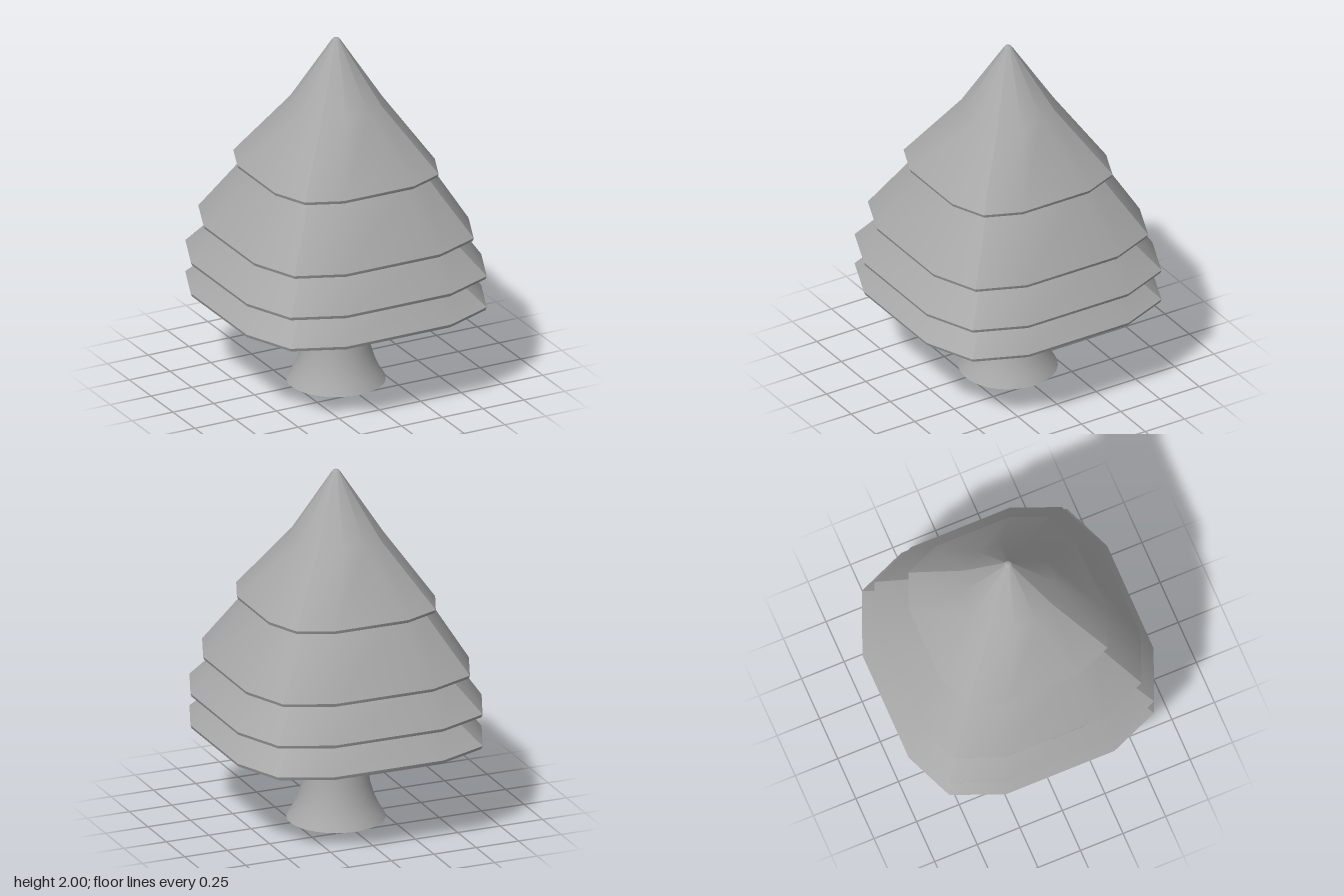
import * as THREE from 'three';
import { mergeGeometries } from 'three/addons/utils/BufferGeometryUtils.js';

// A ring is [side, corner, t, y]: a twelve-sided outline with corners at
// (±corner, ±corner) and side points at (±t, side).
function sidePatch(rings) {
  const pos = [], index = [];
  rings.forEach(([side, corner, t, y]) => {
    pos.push(-corner, y, corner, -t, y, side, t, y, side, corner, y, corner);
  });
  for (let r = 0; r < rings.length - 1; r++) {
    for (let i = 0; i < 3; i++) {
      const a = r * 4 + i, d = a + 4;
      index.push(a, a + 1, d + 1, a, d + 1, d);
    }
  }
  const g = new THREE.BufferGeometry();
  g.setAttribute('position', new THREE.Float32BufferAttribute(pos, 3));
  g.setIndex(index);
  g.computeVertexNormals();
  return g;
}

// Four smooth sides with creases along the corners
function fourSides(rings) {
  return [0, 1, 2, 3].map((k) => sidePatch(rings).rotateY(k * Math.PI / 2));
}

// Round ring expressed in the same form
const roundRing = (r, y) => [r * 0.966, r * 0.707, r * 0.259, y];

function tierGeometry(rim, under, upper) {
  const [side, corner, t, y] = rim;
  const lip = [side - 0.006, corner - 0.005, t - 0.003, y - 0.018];
  return mergeGeometries([
    ...fourSides([...under, lip]),     // hollow underside
    ...fourSides([lip, rim]),          // thin rim
    ...fourSides([rim, ...upper]),     // sloping top
  ]);
}

export function createModel() {
  const model = new THREE.Group();
  const grey = new THREE.MeshStandardMaterial({ color: 0xa8a8a8, side: THREE.DoubleSide });
  grey.name = 'grey';

  const add = (name, geometry) => {
    const mesh = new THREE.Mesh(geometry, grey);
    mesh.name = name;
    model.add(mesh);
  };

  // Flared trunk
  const profile = [[0.27, 0], [0.237, 0.055], [0.21, 0.115], [0.185, 0.2], [0.172, 0.29], [0.167, 0.34], [0.167, 0.77]]
    .map(([r, y]) => new THREE.Vector2(r, y));
  add('trunk', new THREE.LatheGeometry(profile, 32));
  const base = new THREE.CircleGeometry(0.27, 32);
  base.rotateX(Math.PI / 2);
  add('trunkBase', base);

  // Foliage tiers, bottom to top
  add('bottomTier', tierGeometry([0.719, 0.602, 0.32, 0.52],
    [roundRing(0.15, 0.75), [0.45, 0.37, 0.18, 0.67]],
    [[0.6, 0.46, 0.24, 0.69], [0.5, 0.37, 0.18, 0.84]]));
  add('lowerTier', tierGeometry([0.719, 0.602, 0.32, 0.703],
    [[0.45, 0.37, 0.18, 0.82]],
    [[0.59, 0.46, 0.24, 0.9], [0.51, 0.385, 0.19, 1.03]]));
  add('upperTier', tierGeometry([0.657, 0.55, 0.29, 0.917],
    [[0.41, 0.34, 0.17, 1.02]],
    [[0.46, 0.357, 0.17, 1.255], [0.4, 0.3, 0.13, 1.36]]));
  add('topTier', tierGeometry([0.491, 0.41, 0.215, 1.269],
    [[0.29, 0.25, 0.13, 1.355]],
    [roundRing(0.258, 1.63), roundRing(0.022, 1.992)]));

  // Blunt tip
  add('tip', mergeGeometries(fourSides([roundRing(0.022, 1.992), roundRing(0.014, 2), roundRing(0.0001, 2)])));

  return model;
}
